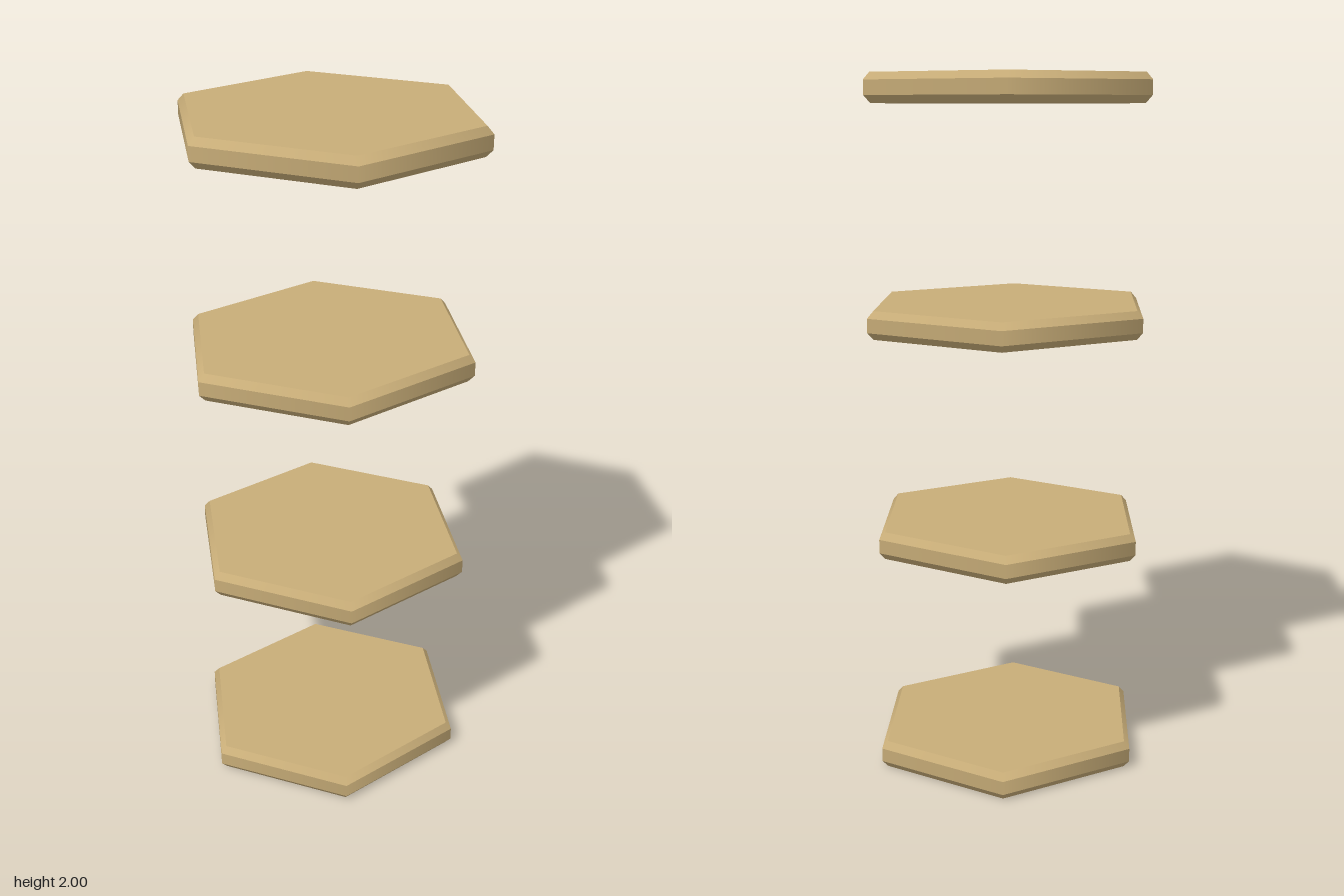
import * as THREE from 'three';
import { mergeGeometries } from 'three/addons/utils/BufferGeometryUtils.js';

const HEIGHT = 0.08, BEVEL = 0.02, INNER = 0.957;

// One open six-sided ring with its corners on the x axis
function ring(rTop, rBottom, y0, y1) {
  return new THREE.CylinderGeometry(rTop, rBottom, y1 - y0, 6, 1, true, Math.PI / 6)
    .translate(0, (y0 + y1) / 2, 0);
}

// Unit-radius hexagonal plate with bevelled upper and lower rims
function plateGeometry() {
  const cap = () => new THREE.CircleGeometry(INNER, 6);
  return mergeGeometries([
    ring(1, INNER, 0, BEVEL),
    ring(1, 1, BEVEL, HEIGHT - BEVEL),
    ring(INNER, 1, HEIGHT - BEVEL, HEIGHT),
    cap().rotateX(-Math.PI / 2).translate(0, HEIGHT, 0),
    cap().rotateX(Math.PI / 2),
  ]);
}

export function createModel() {
  const group = new THREE.Group();
  group.name = 'hexagonalPlates';

  const tan = new THREE.MeshStandardMaterial({ color: 0xc8ad78 });
  tan.name = 'tan';

  // Base height, half width and half depth of each plate
  const plates = [
    ['bottomPlate', 0, 0.426, 0.354],
    ['lowerPlate', 0.645, 0.421, 0.368],
    ['upperPlate', 1.283, 0.443, 0.365],
    ['topPlate', 1.92, 0.439, 0.389],
  ];
  const geometry = plateGeometry();
  for (const [name, y, halfWidth, halfDepth] of plates) {
    const plate = new THREE.Mesh(geometry, tan);
    plate.name = name;
    plate.position.y = y;
    plate.scale.set(halfWidth, 1, halfDepth / Math.cos(Math.PI / 6));
    group.add(plate);
  }
  return group;
}
